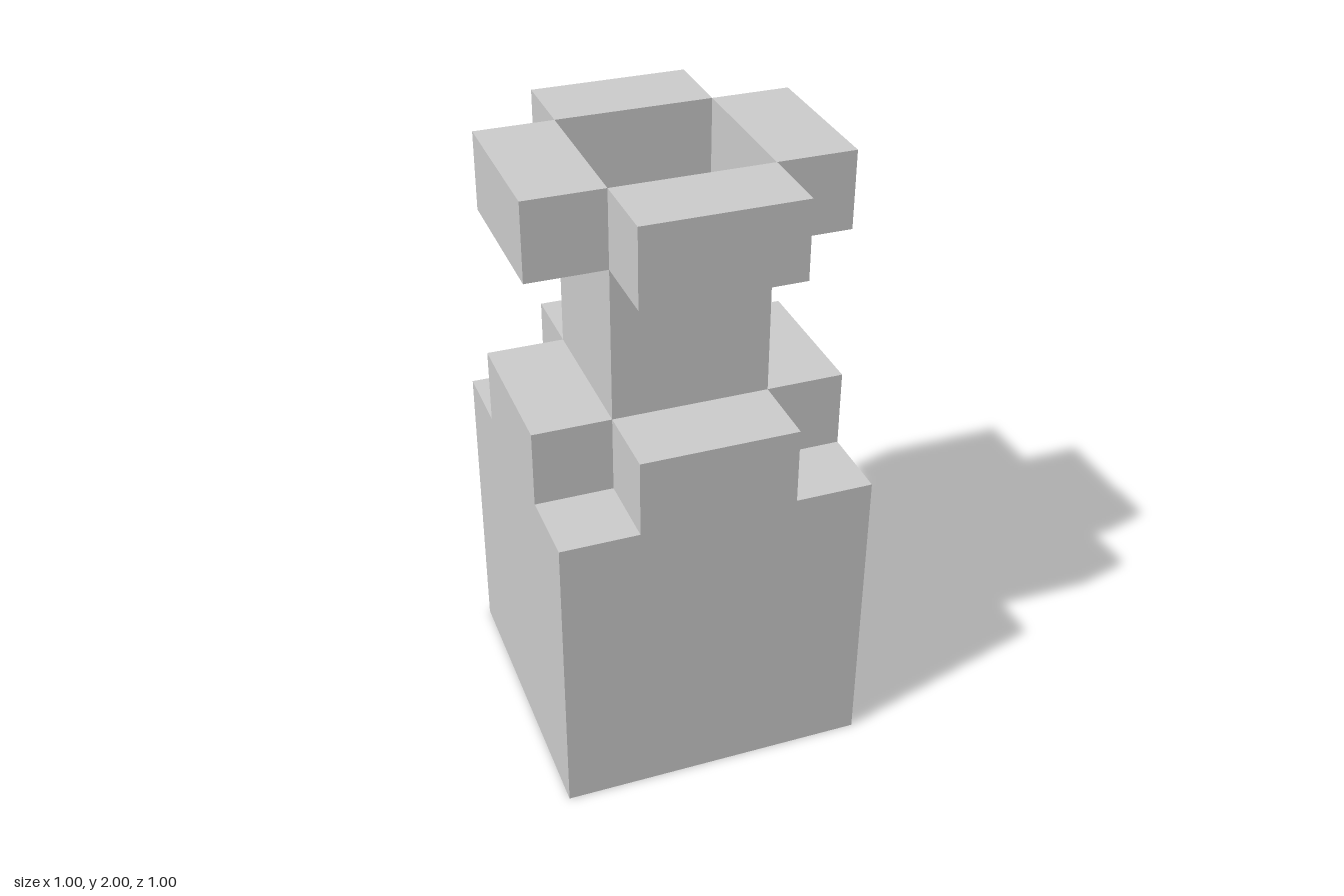
import * as THREE from 'three';

const material = new THREE.MeshStandardMaterial({ color: 0xcccccc, flatShading: true });

// Box standing on height y
function block(name, w, h, d, x, y, z) {
  const mesh = new THREE.Mesh(new THREE.BoxGeometry(w, h, d), material);
  mesh.name = name;
  mesh.position.set(x, y + h / 2, z);
  return mesh;
}

// Four blocks, one against each side of the neck, leaving the corners open
function ring(name, y) {
  const group = new THREE.Group();
  group.name = name;
  const sides = { Front: [0, 1], Back: [0, -1], Left: [1, 0], Right: [-1, 0] };
  for (const [side, [sx, sz]] of Object.entries(sides)) {
    const w = sx ? 0.25 : 0.5;
    const d = sz ? 0.25 : 0.5;
    group.add(block(name + side, w, 0.25, d, sx * 0.375, y, sz * 0.375));
  }
  return group;
}

export function createModel() {
  const bottle = new THREE.Group();
  bottle.name = 'bottle';
  bottle.add(
    block('body', 1, 1, 1, 0, 0, 0),
    ring('shoulder', 1),
    // The neck ends below the rim, so its top is the floor of the opening
    block('neck', 0.5, 0.75, 0.5, 0, 1, 0),
    ring('rim', 1.75),
  );
  return bottle;
}
